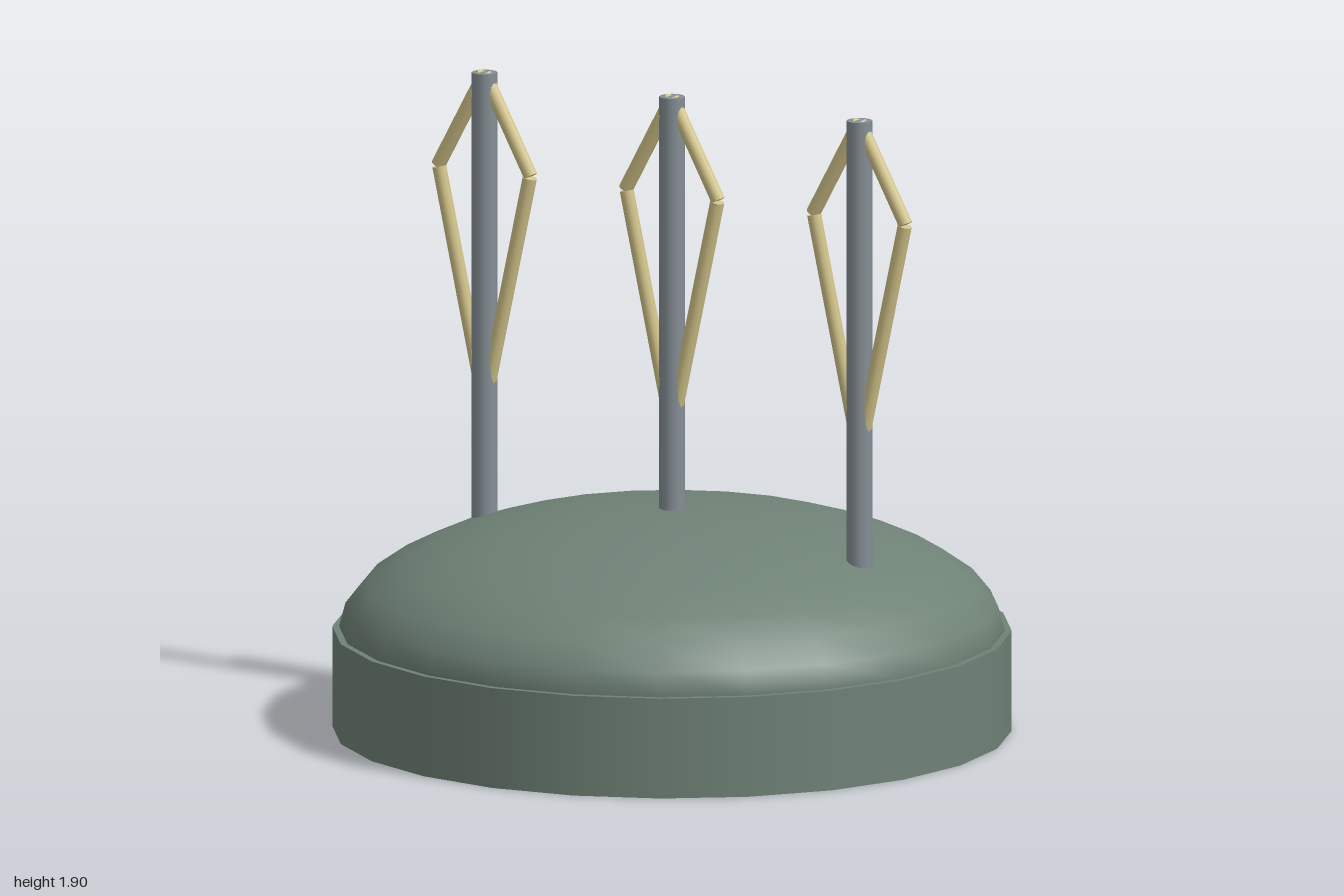
import * as THREE from 'three';

const green = new THREE.MeshStandardMaterial({ name: 'sage green', color: 0x6f8276 });
const steel = new THREE.MeshStandardMaterial({ name: 'steel grey', color: 0x858f96 });
const straw = new THREE.MeshStandardMaterial({ name: 'straw yellow', color: 0xd2c389 });

function add(parent, name, geometry, material) {
  const mesh = new THREE.Mesh(geometry, material);
  mesh.name = name;
  parent.add(mesh);
  return mesh;
}

// Straight rod between two points in the xy plane
function addRod(parent, name, [x1, y1], [x2, y2]) {
  const a = new THREE.Vector3(x1, y1, 0);
  const b = new THREE.Vector3(x2, y2, 0);
  const rod = add(parent, name, new THREE.CylinderGeometry(0.0215, 0.0215, a.distanceTo(b), 10), straw);
  rod.position.copy(a).add(b).multiplyScalar(0.5);
  rod.quaternion.setFromUnitVectors(new THREE.Vector3(0, 1, 0), b.sub(a).normalize());
}

export function createModel() {
  const model = new THREE.Group();
  model.name = 'domedBaseWithPosts';

  // Drum base and shallow dome
  add(model, 'base', new THREE.CylinderGeometry(1, 1, 0.3, 24), green).position.y = 0.15;
  const dome = add(model, 'dome',
    new THREE.SphereGeometry(0.98, 24, 8, 0, Math.PI * 2, 0, Math.PI / 2), green);
  dome.scale.y = 0.363 / 0.98;
  dome.position.y = 0.3;

  // Three posts, each with a kite-shaped frame of rods
  for (const x of [-0.65, 0, 0.65]) {
    const post = new THREE.Group();
    post.name = 'post';
    post.position.x = x;
    add(post, 'pole', new THREE.CylinderGeometry(0.038, 0.038, 1.5, 12), steel).position.y = 1.15;
    for (const side of [-1, 1]) {
      addRod(post, 'upperRod', [0, 1.895], [side * 0.16, 1.605]);
      addRod(post, 'lowerRod', [0, 0.9], [side * 0.157, 1.6]);
    }
    model.add(post);
  }
  return model;
}
